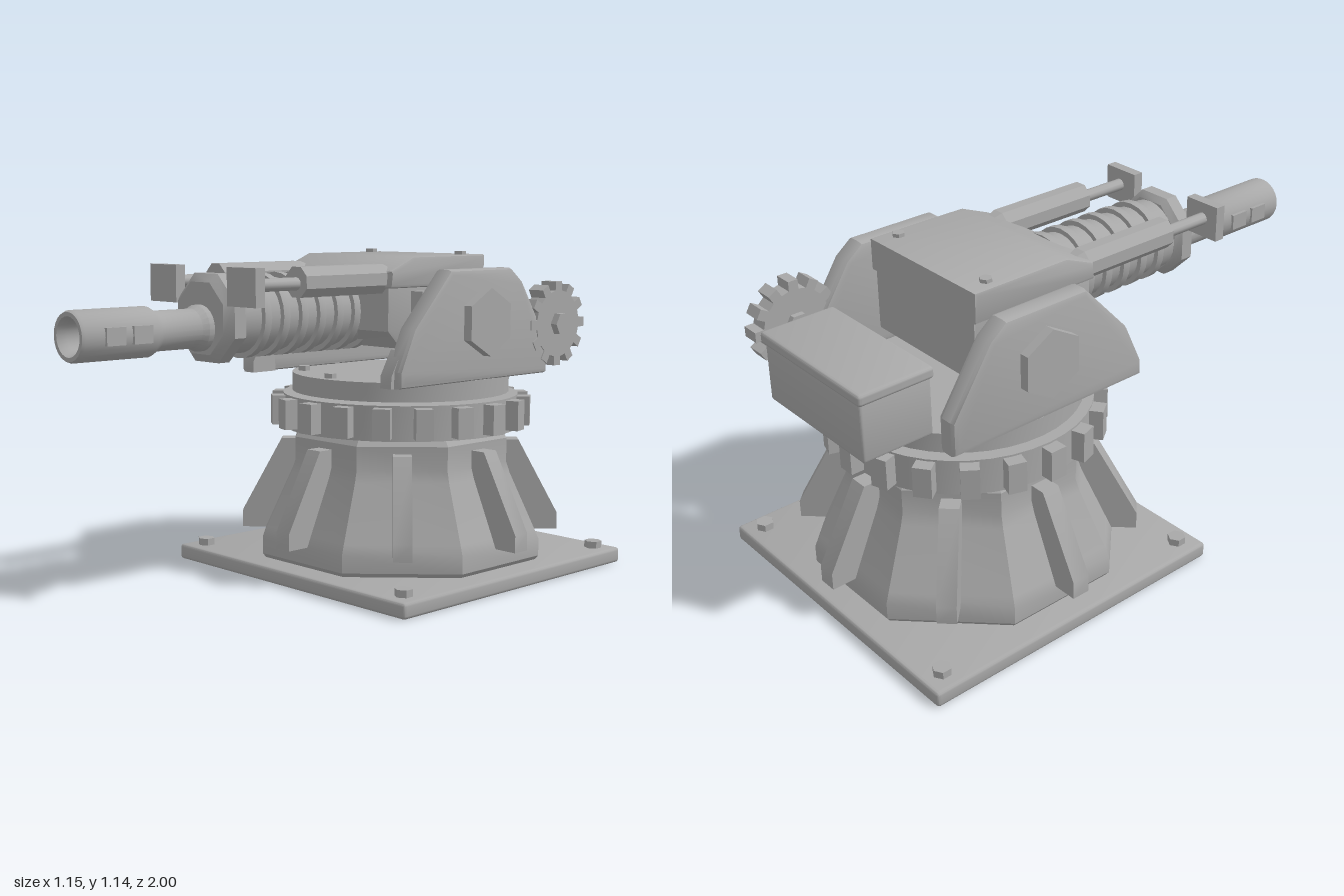
import * as THREE from 'three';
import { toCreasedNormals } from 'three/addons/utils/BufferGeometryUtils.js';
import { RoundedBoxGeometry } from 'three/addons/geometries/RoundedBoxGeometry.js';

const CZ = -0.425; // centre of the pedestal along z

export function createModel() {
  const model = new THREE.Group();
  const steel = new THREE.MeshStandardMaterial({ color: 0xa8a8a8 });
  steel.name = 'grey steel';

  const add = (name, geo, x = 0, y = 0, z = 0, ry = 0) => {
    const mesh = new THREE.Mesh(toCreasedNormals(geo, 0.55), steel);
    mesh.name = name;
    mesh.position.set(x, y, z);
    mesh.rotation.y = ry;
    model.add(mesh);
    return mesh;
  };
  const box = (w, h, d) => new THREE.BoxGeometry(w, h, d);
  const rounded = (w, h, d, r) => new RoundedBoxGeometry(w, h, d, 2, r);
  const cyl = (r, h, n = 40) => new THREE.CylinderGeometry(r, r, h, n);
  const lathe = (pts, n, start = 0) =>
    new THREE.LatheGeometry(pts.map(p => new THREE.Vector2(...p)), n, start);
  // profile given as [z, y], extruded across x with bevelled edges
  const sideProfile = (pts, width, bevel) => new THREE.ExtrudeGeometry(
    new THREE.Shape(pts.map(([z, y]) => new THREE.Vector2(-z, y))),
    { depth: width - 2 * bevel, bevelEnabled: bevel > 0, bevelThickness: bevel,
      bevelSize: bevel, bevelOffset: -bevel, bevelSegments: 2 })
    .translate(0, 0, bevel - width / 2).rotateY(Math.PI / 2);
  const bolt = (name, x, y, z, r = 0.022, h = 0.03) => add(name, cyl(r, h, 6), x, y, z);

  // base plate with corner bolts
  add('basePlate', rounded(1.15, 0.055, 1.15, 0.012), 0, 0.0275, CZ);
  for (const sx of [-1, 1]) for (const sz of [-1, 1])
    bolt('baseBolt', sx * 0.505, 0.065, CZ + sz * 0.505, 0.031);

  // eight-sided pedestal and its ribs
  const k = 1 / Math.cos(Math.PI / 8);
  add('pedestal', lathe([[0, 0.05], [0.475, 0.05], [0.49, 0.07], [0.49, 0.13], [0.475, 0.165],
    [0.388, 0.36], [0.375, 0.40], [0.375, 0.485], [0.36, 0.505], [0, 0.505]]
    .map(([r, y]) => [r * k, y]), 8, Math.PI / 8), 0, 0, CZ);
  const rib = sideProfile([[0.34, 0.13], [0.575, 0.13], [0.575, 0.19], [0.43, 0.46], [0.34, 0.46]], 0.064, 0);
  for (let i = 0; i < 8; i++) add('pedestalRib', rib, 0, 0, CZ, i * Math.PI / 4);

  // toothed slewing ring
  add('slewingRing', cyl(0.426, 0.122), 0, 0.571, CZ);
  for (let i = 0; i < 20; i++)
    add('ringTooth', box(0.06, 0.105, 0.07).translate(0, 0, 0.435), 0, 0.573, CZ, i * Math.PI / 10);

  // turntable with bolts
  add('turntable', cyl(0.393, 0.066), 0, 0.673, CZ);
  for (let i = 0; i < 8; i++) {
    const a = i * Math.PI / 4;
    bolt('turntableBolt', 0.35 * Math.sin(a), 0.708, CZ + 0.35 * Math.cos(a));
  }

  // side plates, feet and hexagonal bosses
  const plate = sideProfile([[-0.01, 0.705], [-0.01, 0.76], [-0.075, 0.9], [-0.25, 1.087],
    [-0.565, 1.087], [-0.625, 1.04], [-0.77, 0.82], [-0.77, 0.705]], 0.076, 0.018);
  const boss = cyl(0.117, 0.035, 6).rotateY(Math.PI / 2).rotateZ(Math.PI / 2);
  for (const s of [-1, 1]) {
    add('sidePlate', plate, s * 0.364);
    add('sidePlateFoot', sideProfile([[-0.1, 0.705], [0.004, 0.705], [0.004, 0.745], [-0.045, 0.83], [-0.1, 0.83]],
      0.05, 0), s * 0.344);
    const b = add('sideBoss', boss, s * 0.418, 0.907, -0.415);
    b.rotation.x = 0;
  }

  // elevation gear on the left side
  const teeth = 12, gear = new THREE.Shape();
  for (let i = 0; i < teeth; i++) {
    for (const [f, r] of [[-0.28, 0.12], [-0.22, 0.152], [0.22, 0.152], [0.28, 0.12]]) {
      const a = (i + f) * 2 * Math.PI / teeth;
      const x = r * Math.cos(a), y = r * Math.sin(a);
      if (i === 0 && f === -0.28) gear.moveTo(x, y); else gear.lineTo(x, y);
    }
  }
  gear.closePath();
  add('elevationGear', new THREE.ExtrudeGeometry(gear, { depth: 0.064, bevelEnabled: false })
    .rotateY(Math.PI / 2), 0.342, 0.88, -0.82);
  add('gearHub', cyl(0.042, 0.11, 6).rotateZ(Math.PI / 2), 0.377, 0.88, -0.82);

  // breech housing
  add('breechHousing', sideProfile([[-0.16, 0.82], [-0.1, 0.88], [-0.1, 1.05], [-0.57, 1.05],
    [-0.57, 0.82]], 0.505, 0.012));
  // sloping top cover, narrowing over the barrel
  const cover = sideProfile([[-0.575, 1.025], [-0.575, 1.13], [-0.21, 1.13], [-0.1, 1.085],
    [-0.005, 1.03], [-0.1, 1.025]], 0.535, 0.012);
  const p = cover.attributes.position;
  for (let i = 0; i < p.count; i++) if (p.getZ(i) > -0.06) p.setX(i, p.getX(i) * 0.45);
  add('topCover', cover);
  for (const s of [-1, 1]) bolt('coverBolt', s * 0.22, 1.127, -0.495, 0.021);

  // ejection port on the left, small stud on the right
  add('ejectionPort', box(0.06, 0.07, 0.19), 0.275, 0.978, -0.305);
  for (const z of [-0.37, -0.305, -0.24])
    add('portRib', box(0.016, 0.078, 0.03), 0.309, 0.978, z);
  add('housingStud', box(0.02, 0.03, 0.08), -0.256, 0.953, -0.3);

  // ammunition box behind
  add('ammunitionBox', rounded(0.505, 0.205, 0.255, 0.01), 0, 0.81, -0.862);
  add('ammunitionLid', rounded(0.53, 0.04, 0.27, 0.012), 0, 0.925, -0.864);

  // ribbed recoil sleeve and eight-sided collar
  const along = (geo) => geo.rotateX(Math.PI / 2); // y axis turned to +z
  add('recoilSleeve', along(cyl(0.122, 0.6, 24)), 0, 0.943, 0.13);
  for (let i = 0; i < 7; i++)
    add('sleeveRib', along(cyl(0.139, 0.028, 24)), 0, 0.943, 0.33 - i * 0.08);
  add('sleeveCollar', along(lathe([[0, 0.41], [0.122, 0.41], [0.142, 0.43], [0.142, 0.475],
    [0.115, 0.5], [0, 0.5]].map(([r, y]) => [r * k, y]), 8, Math.PI / 8)), 0, 0.943, 0);

  // barrel with hollow muzzle
  add('barrel', along(lathe([[0.075, 0.48], [0.075, 0.52], [0.064, 0.54], [0.064, 0.69], [0.08, 0.72],
    [0.08, 0.99], [0.075, 1], [0.062, 1], [0.05, 0.97], [0.05, 0.8], [0, 0.8]], 24)), 0, 0.912, 0);
  for (const s of [-1, 1]) for (const z of [0.785, 0.885])
    add('muzzleVent', box(0.012, 0.055, 0.07), s * 0.081, 0.912, z);

  // recoil rods beside the barrel
  for (const s of [-1, 1]) {
    add('rodSleeve', along(cyl(0.053, 0.37, 8).rotateY(Math.PI / 8)), s * 0.203, 1.057, 0.085);
    add('rodSleeveTail', along(new THREE.CylinderGeometry(0.053, 0.02, 0.1, 8).rotateY(Math.PI / 8)),
      s * 0.203, 1.057, -0.15);
    add('recoilRod', along(cyl(0.021, 0.24, 12)), s * 0.203, 1.052, 0.37);
    add('rodEndPlate', box(0.138, 0.122, 0.037), s * 0.198, 1.048, 0.477);
  }
  return model;
}
